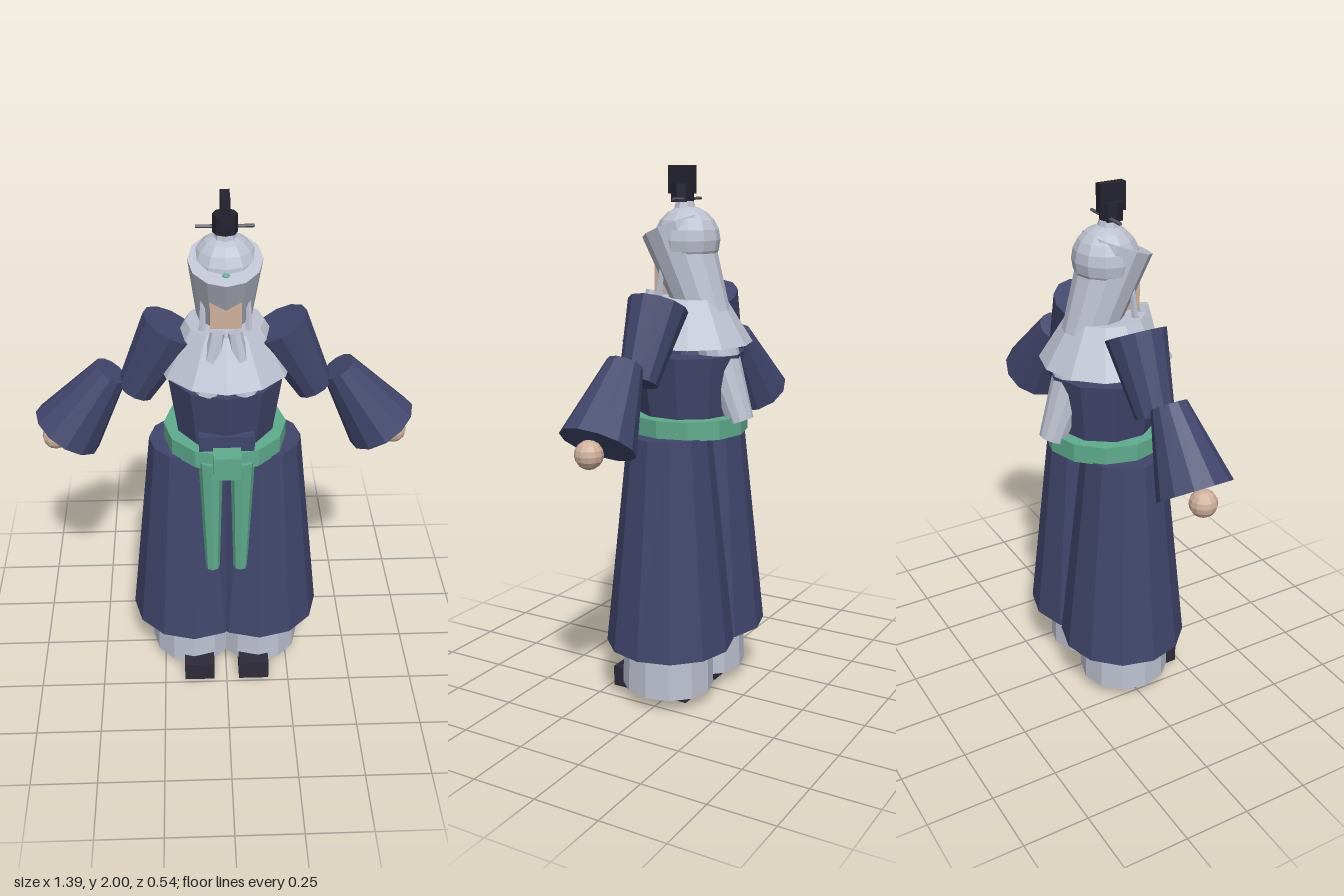
import * as THREE from 'three';

const mat = (name, color) => {
  const m = new THREE.MeshStandardMaterial({ color });
  m.name = name;
  return m;
};

export function createModel() {
  const root = new THREE.Group();
  root.name = 'robedFigure';

  const navy = mat('navy cloth', 0x41466c);
  const white = mat('pale cloth', 0xbdc1d0);
  const green = mat('green sash', 0x5fac8e);
  const skin = mat('skin', 0xcfb09c);
  const dark = mat('dark shoe', 0x2d2a3a);
  const black = mat('black crown', 0x232331);
  const grey = mat('grey pin', 0x555763);

  // Faceted mesh
  const add = (name, geometry, material, x = 0, y = 0, z = 0) => {
    const g = geometry.toNonIndexed();
    g.computeVertexNormals();
    const mesh = new THREE.Mesh(g, material);
    mesh.name = name;
    mesh.position.set(x, y, z);
    root.add(mesh);
    return mesh;
  };

  // Box given by its bounds
  const box = (name, material, x0, x1, y0, y1, z0, z1) =>
    add(name, new THREE.BoxGeometry(x1 - x0, y1 - y0, z1 - z0), material,
      (x0 + x1) / 2, (y0 + y1) / 2, (z0 + z1) / 2);

  // Tapered cylinder from an upper point to a lower point
  const limb = (name, material, top, bottom, rTop, rBottom, sides = 12) => {
    const a = new THREE.Vector3(...top), b = new THREE.Vector3(...bottom);
    const axis = a.clone().sub(b);
    const c = a.clone().add(b).multiplyScalar(0.5);
    const mesh = add(name, new THREE.CylinderGeometry(rTop, rBottom, axis.length(), sides),
      material, c.x, c.y, c.z);
    mesh.quaternion.setFromUnitVectors(new THREE.Vector3(0, 1, 0), axis.normalize());
    return mesh;
  };

  // Paired parts
  for (const s of [-1, 1]) {
    const side = s > 0 ? 'left' : 'right';
    const cx = 0.11 * s;
    box(side + 'Shoe', dark, cx - 0.06, cx + 0.06, 0, 0.08, -0.09, 0.235);
    limb(side + 'Trouser', white, [0.13 * s, 0.4, 0.01], [0.13 * s, 0.05, 0.01], 0.16, 0.168).scale.z = 1.05;
    limb(side + 'Skirt', navy, [0.13 * s, 1.04, 0], [0.13 * s, 0.23, 0], 0.155, 0.242);
    limb(side + 'UpperSleeve', navy, [0.19 * s, 1.517, 0.01], [0.326 * s, 1.26, 0.01], 0.11, 0.07);
    limb(side + 'LowerSleeve', navy, [0.41 * s, 1.337, 0.01], [0.584 * s, 1.09, 0.01], 0.065, 0.136);
    add(side + 'Hand', new THREE.SphereGeometry(0.05, 12, 8), skin, 0.629 * s, 1.066, 0.015);
    limb(side + 'SashTail', green, [0.058 * s, 1.06, 0.185], [0.053 * s, 0.56, 0.185], 0.045, 0.027, 8);
    // Forked beard, mostly under the cape
    limb(side + 'Beard', white, [0.03 * s, 1.55, 0.13], [0.067 * s, 1.325, 0.16], 0.025, 0.043, 8);
    limb(side + 'Sidelock', white, [0.078 * s, 1.65, 0.06], [0.082 * s, 1.5, 0.075], 0.009, 0.015, 6);
  }

  // Torso, belt and cape
  limb('torso', navy, [0, 1.33, 0], [0, 1.03, 0], 0.215, 0.172, 10);
  limb('neck', navy, [0, 1.42, 0], [0, 1.3, 0], 0.1, 0.12, 10);
  box('frontFold', navy, -0.1, 0.1, 1.05, 1.165, 0.1, 0.2);
  limb('belt', green, [0, 1.105, 0], [0, 1.035, 0], 0.228, 0.228, 12);
  box('beltKnot', green, -0.05, 0.05, 1.028, 1.12, 0.19, 0.272);
  limb('cape', white, [0, 1.53, 0], [0, 1.365, 0], 0.14, 0.243, 12);

  // Head, with a slanted hood tapering into a long back veil
  add('crown', new THREE.SphereGeometry(0.121, 12, 10), white, 0, 1.737, 0);
  const hoodTop = [0, 1.785, 0.048];
  const hood = limb('hoodAndVeil', white, hoodTop, [0, 1.085, -0.225], 0.129, 0.05, 12);
  box('face', skin, -0.055, 0.055, 1.55, 1.66, 0, 0.107);
  const gem = add('hoodGem', new THREE.SphereGeometry(0.014, 8, 6), green, 0, 1.757, 0.122);
  gem.quaternion.copy(hood.quaternion);
  gem.scale.set(1, 0.5, 0.7);

  // Topknot ornament
  limb('topknotBase', white, [0, 1.885, 0.01], [0, 1.84, 0.01], 0.03, 0.042, 8);
  limb('topknotCup', black, [0, 1.935, 0.02], [0, 1.87, 0.02], 0.043, 0.043, 8);
  box('topknotPlate', black, -0.016, 0.016, 1.9, 2, -0.03, 0.07);
  limb('hairPin', grey, [0.1, 1.882, 0], [-0.1, 1.882, 0], 0.006, 0.006, 6);

  return root;
}
